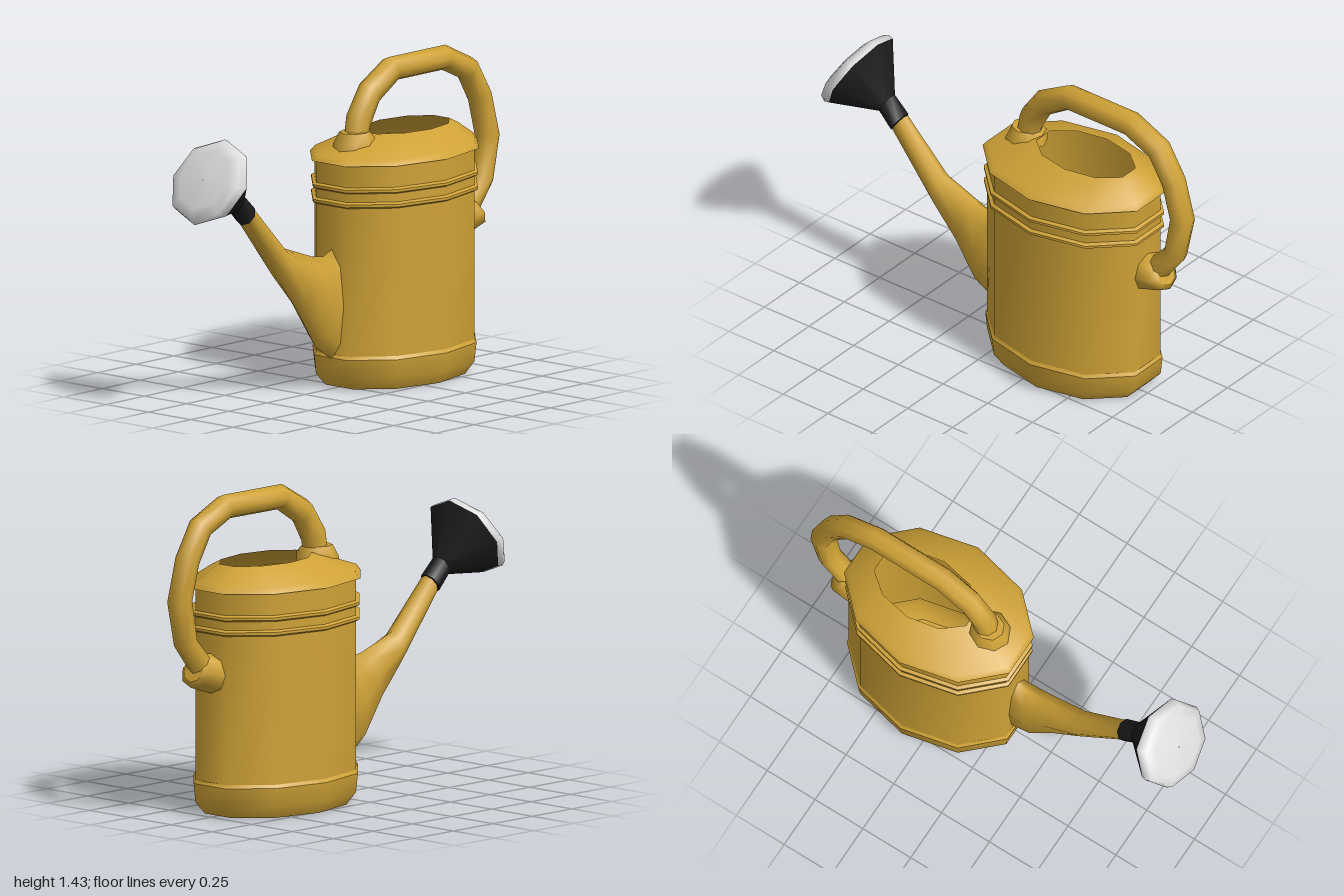
import * as THREE from 'three';

const gold = new THREE.MeshStandardMaterial({ name: 'golden paint', color: 0xcfa236, side: THREE.DoubleSide });
const black = new THREE.MeshStandardMaterial({ name: 'black plastic', color: 0x1c1c1c });
const pale = new THREE.MeshStandardMaterial({ name: 'pale metal', color: 0xdedede });

// Smooth skin through rings. Each ring is [az, ay, bz, by, w]: two opposite
// points a and b in the zy plane, and the half width w along x.
function loft(rings, sides, { capStart = false, capEnd = false } = {}) {
  const pos = [], idx = [];
  const turn = sides === 10 ? Math.PI / 10 : 0;
  const addRing = ([az, ay, bz, by, w]) => {
    for (let j = 0; j < sides; j++) {
      const t = turn + (j / sides) * Math.PI * 2;
      const c = Math.cos(t) / 2;
      pos.push(w * Math.sin(t), (ay + by) / 2 + (ay - by) * c, (az + bz) / 2 + (az - bz) * c);
    }
  };
  rings.forEach(addRing);
  for (let i = 0; i < rings.length - 1; i++) {
    for (let j = 0; j < sides; j++) {
      const k = (j + 1) % sides, p = i * sides, q = p + sides;
      idx.push(p + j, p + k, q + k, p + j, q + k, q + j);
    }
  }
  // Caps have their own corners so their edge stays sharp
  const cap = (ring, flip) => {
    const s = pos.length / 3;
    addRing(ring);
    for (let j = 1; j < sides - 1; j++) {
      idx.push(s, s + (flip ? j + 1 : j), s + (flip ? j : j + 1));
    }
  };
  if (capStart) cap(rings[0], true);
  if (capEnd) cap(rings[rings.length - 1], false);
  const g = new THREE.BufferGeometry();
  g.setAttribute('position', new THREE.Float32BufferAttribute(pos, 3));
  g.setIndex(idx);
  g.computeVertexNormals();
  return g;
}

// Level ten-sided ring, from its height, half width, front z and back z
function oval(y, w, front, back) {
  const mid = (front + back) / 2, r = (front - back) / 2 / Math.cos(Math.PI / 10);
  return [mid + r, y, mid - r, y, w];
}

export function createModel() {
  const model = new THREE.Group();
  model.name = 'wateringCan';
  const add = (name, material, rings, sides, caps) => {
    const mesh = new THREE.Mesh(loft(rings, sides, caps), material);
    mesh.name = name;
    model.add(mesh);
  };

  // Hollow body
  const wall = (y) => oval(y, 0.3, 0.075, -0.75);
  add('bodyWall', gold, [wall(0.15), wall(1.01)], 10);
  add('base', gold, [
    oval(0, 0.265, 0.025, -0.7), oval(0.055, 0.3, 0.075, -0.75), oval(0.14, 0.31, 0.083, -0.758),
  ], 10, { capStart: true });
  add('baseStep', gold, [oval(0.14, 0.31, 0.083, -0.758), wall(0.155)], 10);

  // Two raised bands
  for (const y of [0.832, 0.898]) {
    const out = (h) => oval(h, 0.315, 0.09, -0.765);
    add('bandUnderside', gold, [wall(y - 0.014), out(y - 0.006)], 10);
    add('bandEdge', gold, [out(y - 0.006), out(y + 0.006)], 10);
    add('bandTop', gold, [out(y + 0.006), wall(y + 0.014)], 10);
  }

  // Sloping shoulder with an opening set toward the back
  add('shoulderUnderside', gold, [wall(1.01), oval(1.01, 0.32, 0.095, -0.77)], 10);
  add('shoulder', gold, [
    oval(1.01, 0.32, 0.095, -0.77), oval(1.035, 0.3, 0.075, -0.755),
    oval(1.09, 0.2, -0.08, -0.685), oval(1.112, 0.152, -0.165, -0.645),
  ], 10);

  // Spout, tall at the body and narrowing to the neck
  add('spout', gold, [
    [0.065, 0.125, 0.065, 0.63, 0.07],
    [0.18, 0.2, 0.13, 0.6, 0.08],
    [0.3, 0.38, 0.2, 0.61, 0.07],
    [0.42, 0.53, 0.4, 0.68, 0.06],
    [0.66, 0.82, 0.61, 0.9, 0.045],
  ], 8);

  // Sprinkler rose
  const neck = [0.73, 0.89, 0.685, 0.975, 0.05];
  const rim = [0.95, 0.87, 0.76, 1.215, 0.2];
  add('roseNeck', black, [[0.665, 0.82, 0.61, 0.905, 0.052], neck], 8, { capStart: true });
  add('roseCone', black, [neck, rim], 8);
  add('roseFace', pale, [
    rim, [0.975, 0.868, 0.778, 1.222, 0.205],
    [0.998, 0.888, 0.805, 1.218, 0.192], [0.985, 0.94, 0.84, 1.185, 0.14],
    [0.92, 1.061, 0.918, 1.065, 0.002],
  ], 8);

  // Arched handle, outer then inner edge of each ring
  add('handle', gold, [
    [-0.03, 1.09, -0.14, 1.07, 0.055],
    [-0.05, 1.21, -0.15, 1.14, 0.055],
    [-0.14, 1.34, -0.205, 1.24, 0.055],
    [-0.3, 1.43, -0.33, 1.32, 0.055],
    [-0.67, 1.43, -0.65, 1.32, 0.055],
    [-0.85, 1.345, -0.78, 1.26, 0.055],
    [-0.945, 1.19, -0.85, 1.14, 0.055],
    [-1, 0.985, -0.89, 0.99, 0.055],
    [-0.955, 0.78, -0.86, 0.815, 0.055],
    [-0.86, 0.655, -0.77, 0.72, 0.055],
  ], 8);

  // Sockets where the handle meets the can
  add('frontSocket', gold, [
    [0.025, 1.04, -0.17, 1.06, 0.092],
    [0.02, 1.075, -0.165, 1.105, 0.092],
    [-0.005, 1.13, -0.145, 1.13, 0.065],
  ], 8, { capEnd: true });
  add('rearSocket', gold, [
    [-0.74, 0.73, -0.74, 0.55, 0.09],
    [-0.79, 0.735, -0.875, 0.595, 0.09],
    [-0.83, 0.715, -0.88, 0.62, 0.055],
  ], 8, { capEnd: true });

  return model;
}
